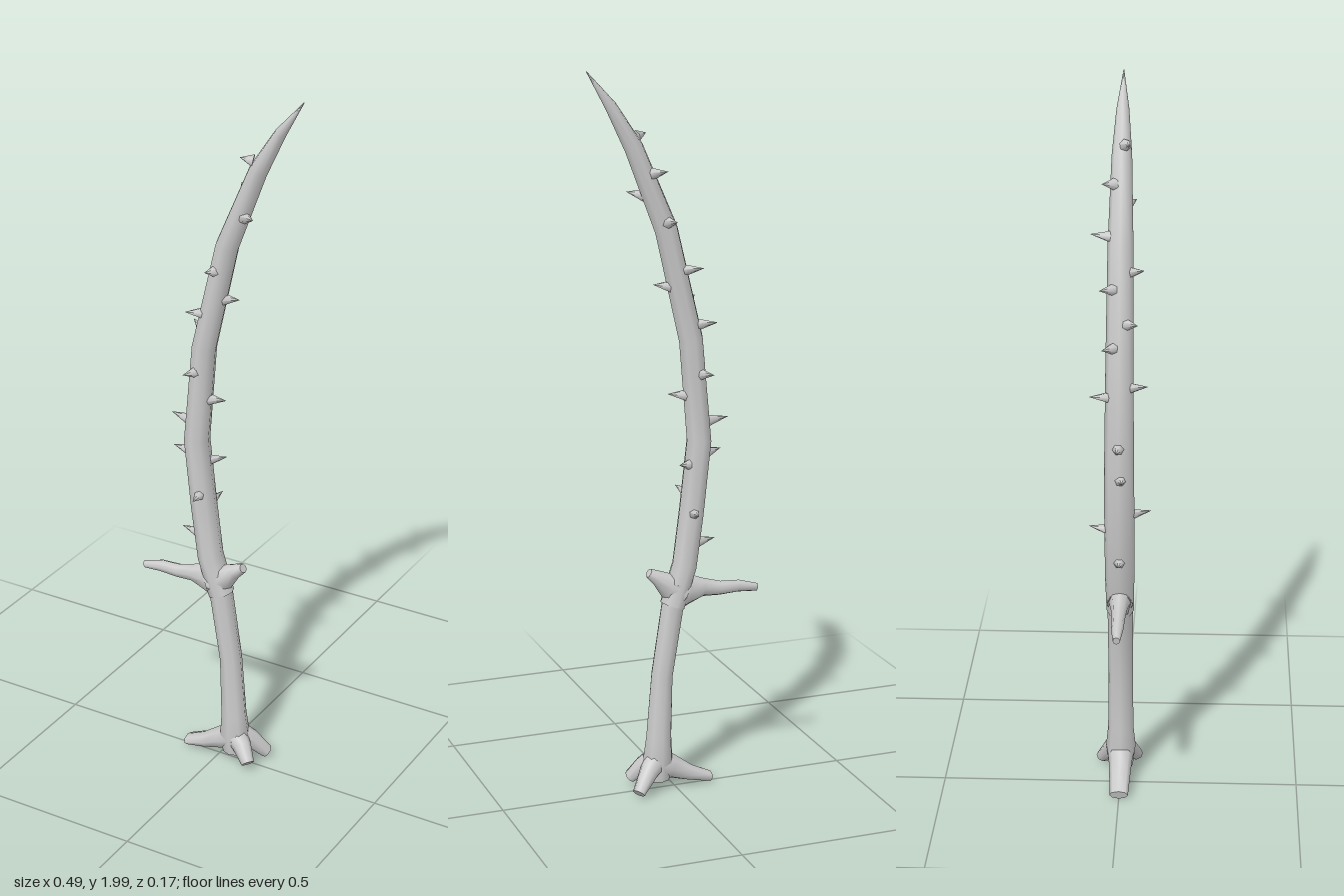
import * as THREE from 'three';

const material = new THREE.MeshStandardMaterial({ color: 0xcccccc });
const SIDES = 8;

// Sweeps an elliptical section along points [x, y, z, radius in plane, radius in depth].
function limb(name, points) {
  const centres = points.map((p) => new THREE.Vector3(p[0], p[1], p[2]));
  const last = points.length - 1;
  const positions = [], index = [];
  const ring = (i, scale) => {
    const tangent = centres[Math.min(i + 1, last)].clone().sub(centres[Math.max(i - 1, 0)]).normalize();
    const depth = new THREE.Vector3(0, 0, 1).addScaledVector(tangent, -tangent.z).normalize();
    const across = depth.clone().cross(tangent);
    for (let j = 0; j < SIDES; j++) {
      const a = (j / SIDES) * Math.PI * 2;
      const v = centres[i].clone()
        .addScaledVector(across, Math.cos(a) * points[i][3] * scale)
        .addScaledVector(depth, Math.sin(a) * points[i][4] * scale);
      positions.push(v.x, v.y, v.z);
    }
  };
  const join = (r) => {
    for (let j = 0; j < SIDES; j++) {
      const a = r * SIDES + j, b = r * SIDES + ((j + 1) % SIDES);
      index.push(a, b, a + SIDES, b, b + SIDES, a + SIDES);
    }
  };
  // end rings are doubled so the caps keep a sharp edge
  ring(0, 0);
  ring(0, 1);
  points.forEach((p, i) => ring(i, 1));
  ring(last, 1);
  ring(last, 0);
  const count = points.length + 4;
  for (let r = 0; r < count - 1; r++) if (r !== 1 && r !== count - 3) join(r);
  const geometry = new THREE.BufferGeometry();
  geometry.setAttribute('position', new THREE.Float32BufferAttribute(positions, 3));
  geometry.setIndex(index);
  geometry.computeVertexNormals();
  const mesh = new THREE.Mesh(geometry, material);
  mesh.name = name;
  return mesh;
}

const BLADE = [
  [0.005, 0.54, 0, 0.036, 0.038], [-0.03, 0.65, 0, 0.035, 0.04],
  [-0.05, 0.8, 0, 0.035, 0.041], [-0.072, 1.0, 0, 0.035, 0.04],
  [-0.048, 1.28, 0, 0.034, 0.037], [0.022, 1.58, 0, 0.032, 0.034],
  [0.112, 1.8, 0, 0.026, 0.027], [0.175, 1.91, 0, 0.016, 0.017],
  [0.24, 2.0, 0, 0.001, 0.001],
];

const HANDLE = [
  [0.05, 0.035, 0, 0.036, 0.034], [0.049, 0.1, 0, 0.043, 0.042],
  [0.046, 0.16, 0, 0.037, 0.036], [0.036, 0.34, 0, 0.031, 0.034],
  [0.006, 0.53, 0, 0.032, 0.035], [-0.012, 0.6, 0, 0.036, 0.038],
];

// Thorn tips along the blade
const THORNS = [
  [-0.12, 0.72, 0], [-0.035, 0.855, 0.087], [-0.04, 0.81, -0.085],
  [0.0, 0.945, -0.04], [-0.14, 0.97, 0.01], [-0.155, 1.06, -0.005],
  [0.02, 1.135, 0], [-0.07, 1.22, 0.077], [-0.085, 1.195, -0.08],
  [-0.108, 1.33, -0.045], [-0.078, 1.39, 0.05], [0.06, 1.435, 0],
  [-0.065, 1.48, -0.053], [-0.01, 1.52, 0.065], [0.02, 1.61, -0.08],
  [0.12, 1.68, 0.04], [0.035, 1.74, -0.05], [0.07, 1.835, 0.022],
];

// Centre of the blade at a given height
function bladeCentre(y) {
  const i = BLADE.findIndex((p) => p[1] > y);
  const a = BLADE[i - 1], b = BLADE[i];
  return new THREE.Vector3(THREE.MathUtils.mapLinear(y, a[1], b[1], a[0], b[0]), y, 0);
}

function thorn(tipPoint) {
  const tip = new THREE.Vector3(...tipPoint);
  const root = bladeCentre(tip.y - 0.012);
  const direction = tip.clone().sub(root);
  root.addScaledVector(direction.clone().normalize(), 0.025);
  const length = tip.distanceTo(root);
  const mesh = new THREE.Mesh(new THREE.ConeGeometry(0.017, length, 6), material);
  mesh.position.copy(root).lerp(tip, 0.5);
  mesh.quaternion.setFromUnitVectors(new THREE.Vector3(0, 1, 0), direction.normalize());
  mesh.name = 'thorn';
  return mesh;
}

export function createModel() {
  const model = new THREE.Group();
  model.name = 'thornSword';
  model.add(limb('blade', BLADE), limb('handle', HANDLE));

  // Guard: a long drooping branch and a short upturned one
  model.add(limb('longGuard', [
    [0.0, 0.575, 0, 0.058, 0.035], [-0.04, 0.58, 0, 0.044, 0.029],
    [-0.085, 0.58, 0, 0.026, 0.022], [-0.135, 0.572, 0, 0.02, 0.018],
    [-0.19, 0.572, 0, 0.017, 0.017], [-0.245, 0.562, 0, 0.011, 0.01],
  ]));
  model.add(limb('shortGuard', [
    [-0.025, 0.57, 0, 0.05, 0.036], [0.015, 0.595, 0, 0.036, 0.033],
    [0.048, 0.622, 0, 0.021, 0.024], [0.074, 0.638, 0, 0.013, 0.015],
  ]));

  // Pommel: three root-like prongs
  model.add(limb('rightProng', [
    [0.06, 0.085, 0, 0.05, 0.04], [0.01, 0.066, 0, 0.034, 0.033],
    [-0.045, 0.04, 0, 0.022, 0.029], [-0.105, 0.021, 0, 0.014, 0.026],
  ]));
  const prongs = [[0.125, 0.022, -0.055], [0.117, 0.034, 0.043]];
  for (const [x, y, z] of prongs) {
    model.add(limb('leftProng', [
      [0.045, 0.1, 0, 0.036, 0.034],
      [0.085, 0.07, z * 0.5, 0.028, 0.026],
      [x, y, z, 0.017, 0.02],
    ]));
  }

  const thorns = new THREE.Group();
  thorns.name = 'thorns';
  for (const tip of THORNS) thorns.add(thorn(tip));
  model.add(thorns);
  return model;
}
